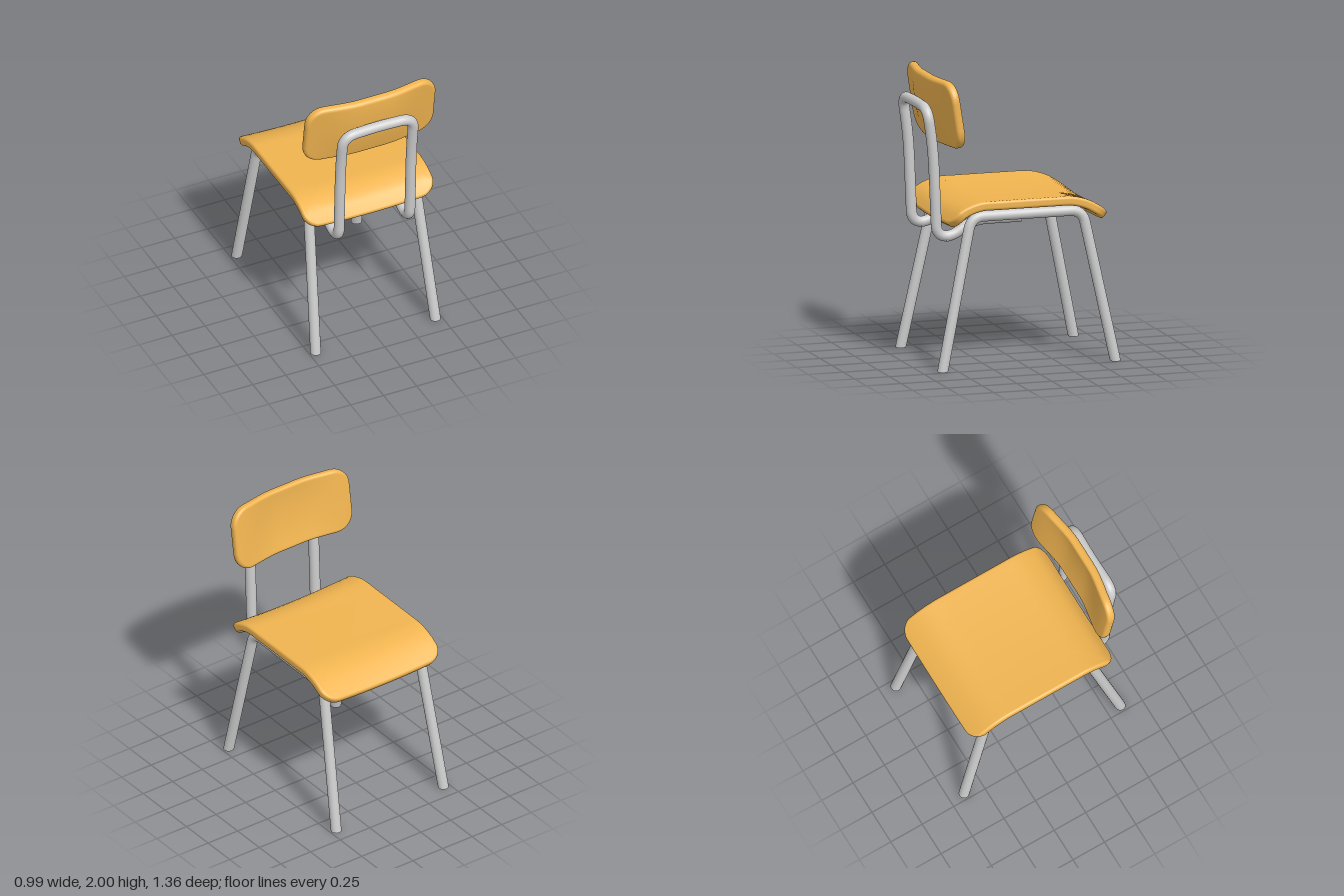
import * as THREE from 'three';
import { mergeGeometries } from 'three/addons/utils/BufferGeometryUtils.js';

const TUBE_R = 0.037;
const steel = new THREE.MeshStandardMaterial({ color: 0xcccccc });
const wood = new THREE.MeshStandardMaterial({ color: 0xf0b450 });
const V = (x, y, z) => new THREE.Vector3(x, y, z);

// Path of straight runs with rounded corners; each entry is [point, corner size]
function roundedPath(entries) {
  const path = new THREE.CurvePath();
  let from = entries[0][0];
  for (let i = 1; i < entries.length - 1; i++) {
    const [p, r] = entries[i];
    const toward = q => p.clone().add(q.clone().sub(p).setLength(r));
    const a = toward(entries[i - 1][0]), b = toward(entries[i + 1][0]);
    path.add(new THREE.LineCurve3(from, a));
    path.add(new THREE.QuadraticBezierCurve3(a, p, b));
    from = b;
  }
  path.add(new THREE.LineCurve3(from, entries[entries.length - 1][0]));
  return path;
}

// Bent steel tube with closed ends
function cappedTube(path, segments) {
  const parts = [new THREE.TubeGeometry(path, segments, TUBE_R, 20, false)];
  for (const t of [0, 1]) {
    const dir = path.getTangentAt(t).multiplyScalar(t ? 1 : -1);
    const cap = new THREE.CircleGeometry(TUBE_R, 20);
    cap.applyQuaternion(new THREE.Quaternion().setFromUnitVectors(V(0, 0, 1), dir));
    const end = path.getPointAt(t);
    parts.push(cap.translate(end.x, end.y, end.z));
  }
  return mergeGeometries(parts);
}

// Rounded-rectangle outline, pulled in by an inset
function outline(hw, hl, r, inset) {
  const pts = [], arc = 8, side = 20, rr = r - inset;
  const corners = [[1, 1], [-1, 1], [-1, -1], [1, -1]];
  corners.forEach(([sx, sz], c) => {
    for (let i = 0; i <= arc; i++) {
      const a = (c + i / arc) * Math.PI / 2;
      pts.push([sx * (hw - r) + rr * Math.cos(a), sz * (hl - r) + rr * Math.sin(a)]);
    }
    // straight run to the start of the next corner
    const [nx, nz] = corners[(c + 1) % 4], a = (c + 1) * Math.PI / 2;
    const p = pts[pts.length - 1];
    const q = [nx * (hw - r) + rr * Math.cos(a), nz * (hl - r) + rr * Math.sin(a)];
    for (let i = 1; i < side; i++) {
      const k = i / side;
      pts.push([p[0] + (q[0] - p[0]) * k, p[1] + (q[1] - p[1]) * k]);
    }
  });
  return pts;
}

// Soft-edged board made of concentric rings, bent by place(u, v, h)
function board(hw, hl, r, thick, bevel, place) {
  const rings = [], inner = 14, round = 6;
  const face = outline(hw, hl, r, bevel);
  const scaled = (k, h) => face.map(([u, v]) => [u * k, v * k, h]);
  for (let i = 0; i < inner; i++) rings.push(scaled(i / inner, thick / 2));
  for (const s of [1, -1]) {
    for (let i = 0; i <= round; i++) {
      const a = (s > 0 ? i : round - i) / round * Math.PI / 2;
      const h = s * (thick / 2 - bevel + bevel * Math.cos(a));
      rings.push(outline(hw, hl, r, bevel * (1 - Math.sin(a))).map(([u, v]) => [u, v, h]));
    }
  }
  for (let i = inner - 1; i >= 0; i--) rings.push(scaled(i / inner, -thick / 2));

  const n = face.length, pos = [], idx = [];
  for (const ring of rings) for (const p of ring) pos.push(...place(...p));
  for (let j = 0; j < rings.length - 1; j++) {
    for (let i = 0; i < n; i++) {
      const k = (i + 1) % n;
      const a = j * n + i, b = j * n + k, c = a + n, d = b + n;
      idx.push(a, b, c, b, d, c);
    }
  }
  const g = new THREE.BufferGeometry();
  g.setAttribute('position', new THREE.Float32BufferAttribute(pos, 3));
  g.setIndex(idx);
  g.computeVertexNormals();
  return g;
}

export function createModel() {
  const group = new THREE.Group();
  const add = (name, geometry, material) => {
    const mesh = new THREE.Mesh(geometry, material);
    mesh.name = name;
    group.add(mesh);
  };

  // Seat: side profile of the upper face as [z, y], slightly dished across
  const profile = new THREE.SplineCurve([
    [-0.6, 1.035], [-0.53, 1.087], [-0.44, 1.137], [-0.33, 1.167], [-0.2, 1.17], [0.2, 1.17],
    [0.34, 1.167], [0.46, 1.127], [0.51, 1.085], [0.555, 1.025],
  ].map(p => new THREE.Vector2(...p)));
  const seatLength = profile.getLength(), seatThick = 0.064;
  add('seat', board(0.493, seatLength / 2, 0.11, seatThick, 0.02, (u, v, h) => {
    const t = THREE.MathUtils.clamp(v / seatLength + 0.5, 0, 1);
    const p = profile.getPointAt(t), d = profile.getTangentAt(t);
    const drop = h - seatThick / 2;
    const dish = 0.018 * (1 - (u / 0.493) ** 2);
    return [u, p.y + d.x * drop - dish, p.x - d.y * drop];
  }), wood);

  // Backrest: leaning panel whose sides wrap forward
  const lean = 0.155, c = Math.cos(lean), s = Math.sin(lean), halfHeight = 0.236;
  add('backrest', board(0.49, halfHeight, 0.13, 0.062, 0.024, (u, v, h) => {
    const wrap = THREE.MathUtils.smoothstep(Math.abs(u), 0.1, 0.47);
    const bow = 0.02 * (1 - (v / halfHeight) ** 2) * (1 - wrap);
    return [u, 1.765 + v * c + h * s, 0.54 + v * s - h * c - 0.043 * wrap + bow];
  }), wood);

  // Leg frames: one bent tube per side, cut level at the floor
  for (const side of [1, -1]) {
    const path = roundedPath([
      [V(side * 0.453, 0, 0.602)],
      [V(side * 0.4, 1.053, 0.38), 0.09],
      [V(side * 0.4, 1.053, -0.42), 0.09],
      [V(side * 0.453, 0, -0.64)],
    ]);
    const g = cappedTube(path, 120);
    const p = g.attributes.position;
    for (let i = 0; i < p.count; i++) if (p.getY(i) < 0.015) p.setY(i, 0);
    add(side > 0 ? 'leftLegFrame' : 'rightLegFrame', g, steel);
  }

  // Backrest support: a single hoop running from under the seat and over
  const half = [
    [1.008, -0.02, 0], [1.008, 0.31, 0.08], [0.905, 0.47, 0.05], [0.9, 0.583, 0.085],
    [1.5, 0.608, 0.15], [1.792, 0.65, 0.1],
  ];
  const left = half.map(([y, z, r]) => [V(0.268, y, z), r]);
  const right = half.map(([y, z, r]) => [V(-0.268, y, z), r]).reverse();
  const crown = [[V(0, 1.797, 0.642), 0.1]];
  add('backrestSupport', cappedTube(roundedPath([...left, ...crown, ...right]), 260), steel);

  return group;
}
